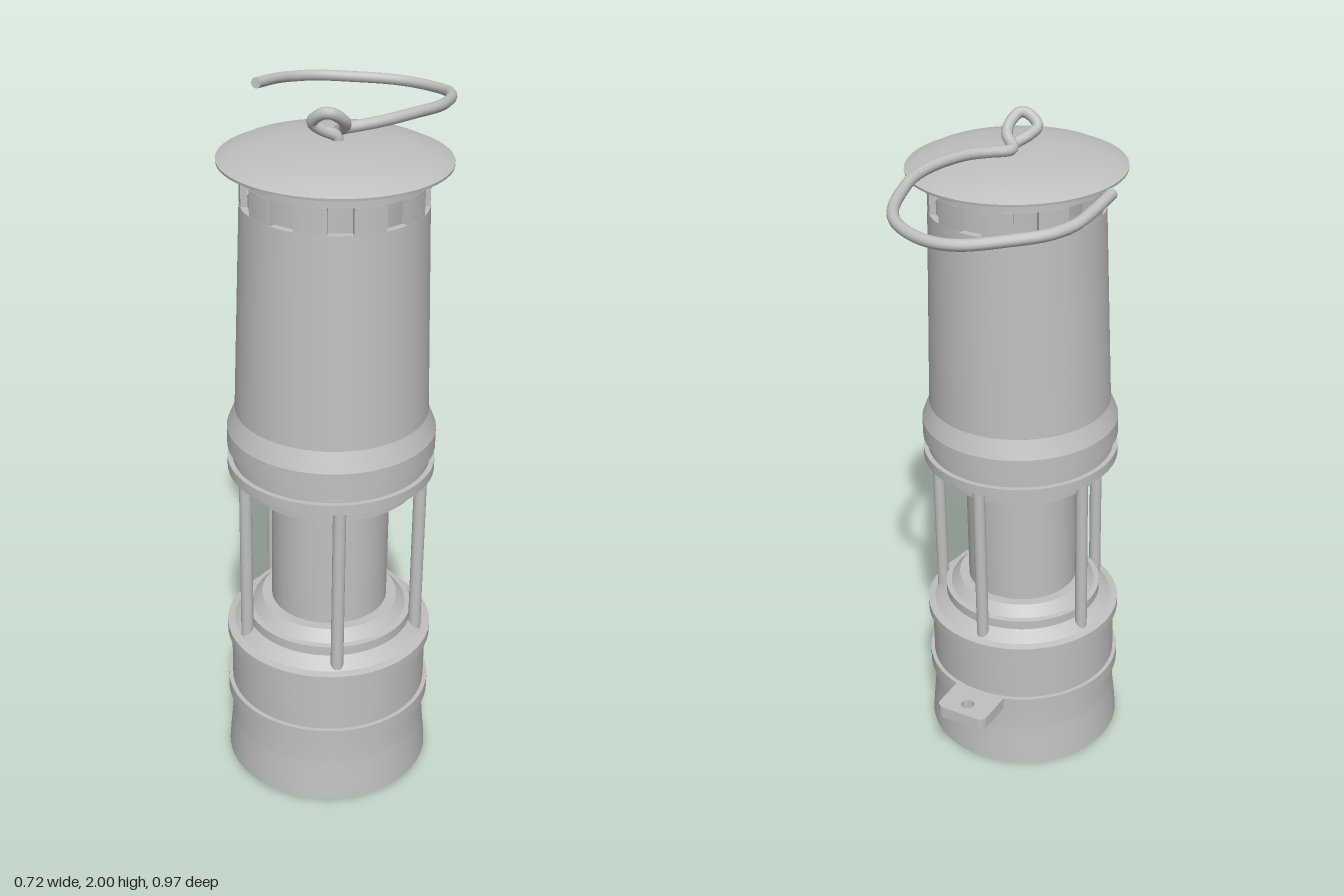
import * as THREE from 'three';
import { toCreasedNormals } from 'three/addons/utils/BufferGeometryUtils.js';

const metal = new THREE.MeshStandardMaterial({ color: 0xc0c0c0 });
metal.name = 'grey metal';
const rad = THREE.MathUtils.degToRad;

function add(parent, name, geometry) {
  const mesh = new THREE.Mesh(geometry, metal);
  mesh.name = name;
  parent.add(mesh);
  return mesh;
}

// Turned part from [radius, height] pairs
function turned(parent, name, profile) {
  const pts = profile.map(([r, y]) => new THREE.Vector2(r, y));
  return add(parent, name, toCreasedNormals(new THREE.LatheGeometry(pts, 64), 0.3));
}

export function createModel() {
  const model = new THREE.Group();
  model.name = 'safetyLamp';

  // Lamp body leans very slightly
  const lamp = new THREE.Group();
  lamp.name = 'lampBody';
  lamp.position.set(0.034, 0.003, 0.187);
  lamp.rotation.set(-0.016, 0, -0.011);
  model.add(lamp);

  // Fuel base with recessed bottom, two bands and a stepped shoulder
  turned(lamp, 'fuelBase', [
    [0, 0.055], [0.27, 0.055], [0.288, 0], [0.296, 0], [0.293, 0.04], [0.286, 0.11], [0.284, 0.14],
    [0.284, 0.207], [0.296, 0.207], [0.296, 0.248], [0.284, 0.248],
    [0.284, 0.41], [0.296, 0.41], [0.296, 0.438], [0.275, 0.442],
    [0.238, 0.47], [0.238, 0.498], [0.222, 0.5], [0.195, 0.53], [0, 0.53],
  ]);

  // Glass cylinder
  turned(lamp, 'glass', [[0, 0.52], [0.166, 0.52], [0.166, 0.93], [0, 0.93]]);

  // Collar, flange and recess under the bonnet
  turned(lamp, 'upperCollar', [
    [0, 0.915], [0.246, 0.915], [0.246, 0.96], [0.288, 0.96],
    [0.288, 0.99], [0.274, 0.99], [0.274, 1.035], [0, 1.035],
  ]);

  // Five guard rods
  for (let i = 0; i < 5; i++) {
    const a = rad(36 + 72 * i);
    const rod = add(lamp, 'guardRod', new THREE.CylinderGeometry(0.018, 0.018, 0.56, 16));
    rod.position.set(0.255 * Math.sin(a), 0.725, 0.255 * Math.cos(a));
  }

  // Bonnet: hollow tapering chimney
  turned(lamp, 'bonnet', [
    [0, 1.03], [0.288, 1.03], [0.288, 1.085], [0.266, 1.14],
    [0.247, 1.73], [0.228, 1.73], [0.245, 1.14], [0, 1.14],
  ]);

  // Pillars between the ten air openings
  for (let i = 0; i < 10; i++) {
    const start = rad(-92 + 36 * i + 7.8), end = start + rad(20.4);
    const sector = new THREE.Shape();
    sector.absarc(0, 0, 0.246, start, end, false);
    sector.absarc(0, 0, 0.228, end, start, true);
    const geo = new THREE.ExtrudeGeometry(sector, { depth: 0.07, bevelEnabled: false, curveSegments: 6 });
    geo.rotateX(-Math.PI / 2).translate(0, 1.73, 0);
    add(lamp, 'ventPillar', toCreasedNormals(geo, 0.5));
  }
  turned(lamp, 'bonnetTopBand', [
    [0.228, 1.8], [0.245, 1.8], [0.243, 1.86], [0.228, 1.86], [0.228, 1.8],
  ]);

  // Shallow domed lid
  turned(lamp, 'lid', [
    [0, 1.856], [0.24, 1.85], [0.304, 1.84], [0.305, 1.847], [0.265, 1.866],
    [0.2, 1.879], [0.1, 1.89], [0, 1.894],
  ]);

  // Rear tab with a hole and rounded outer corners
  const tab = new THREE.Shape();
  tab.moveTo(-0.082, 0);
  tab.lineTo(0.082, 0);
  tab.lineTo(0.082, 0.143);
  tab.absarc(0.057, 0.143, 0.025, 0, Math.PI / 2, false);
  tab.absarc(-0.057, 0.143, 0.025, Math.PI / 2, Math.PI, false);
  tab.closePath();
  tab.holes.push(new THREE.Path().absarc(0, 0.118, 0.02, 0, Math.PI * 2, true));
  const tabGeo = new THREE.ExtrudeGeometry(tab, { depth: 0.038, bevelEnabled: false, curveSegments: 10 });
  tabGeo.rotateX(-Math.PI / 2);
  add(model, 'rearTab', toCreasedNormals(tabGeo, 0.6)).position.set(0.036, 0.21, -0.06);

  // Bent wire hook ending in an upright eye
  const path = [
    [-0.347, 1.917, -0.092], [-0.346, 1.904, -0.2], [-0.335, 1.893, -0.27], [-0.3, 1.885, -0.335],
    [-0.22, 1.876, -0.4], [-0.13, 1.868, -0.456], [-0.065, 1.866, -0.469], [0.01, 1.868, -0.455],
    [0.08, 1.875, -0.415], [0.12, 1.882, -0.36], [0.15, 1.893, -0.27], [0.163, 1.904, -0.19],
    [0.15, 1.912, -0.1], [0.115, 1.913, 0], [0.08, 1.91, 0.052], [0.043, 1.907, 0.1],
    [0.045, 1.91, 0.12], [0.075, 1.932, 0.142], [0.082, 1.955, 0.168], [0.068, 1.979, 0.203],
    [0.045, 1.975, 0.21], [0.015, 1.948, 0.204], [0.03, 1.927, 0.185], [0.058, 1.905, 0.157],
    [0.06, 1.885, 0.155],
  ].map((p) => new THREE.Vector3(...p));
  const hook = new THREE.Group();
  hook.name = 'hook';
  model.add(hook);
  add(hook, 'hookWire', new THREE.TubeGeometry(new THREE.CatmullRomCurve3(path), 200, 0.0155, 12));
  const tip = add(hook, 'hookTip', new THREE.CircleGeometry(0.0155, 12));
  tip.position.copy(path[0]);
  tip.rotation.x = -0.12;

  return model;
}
